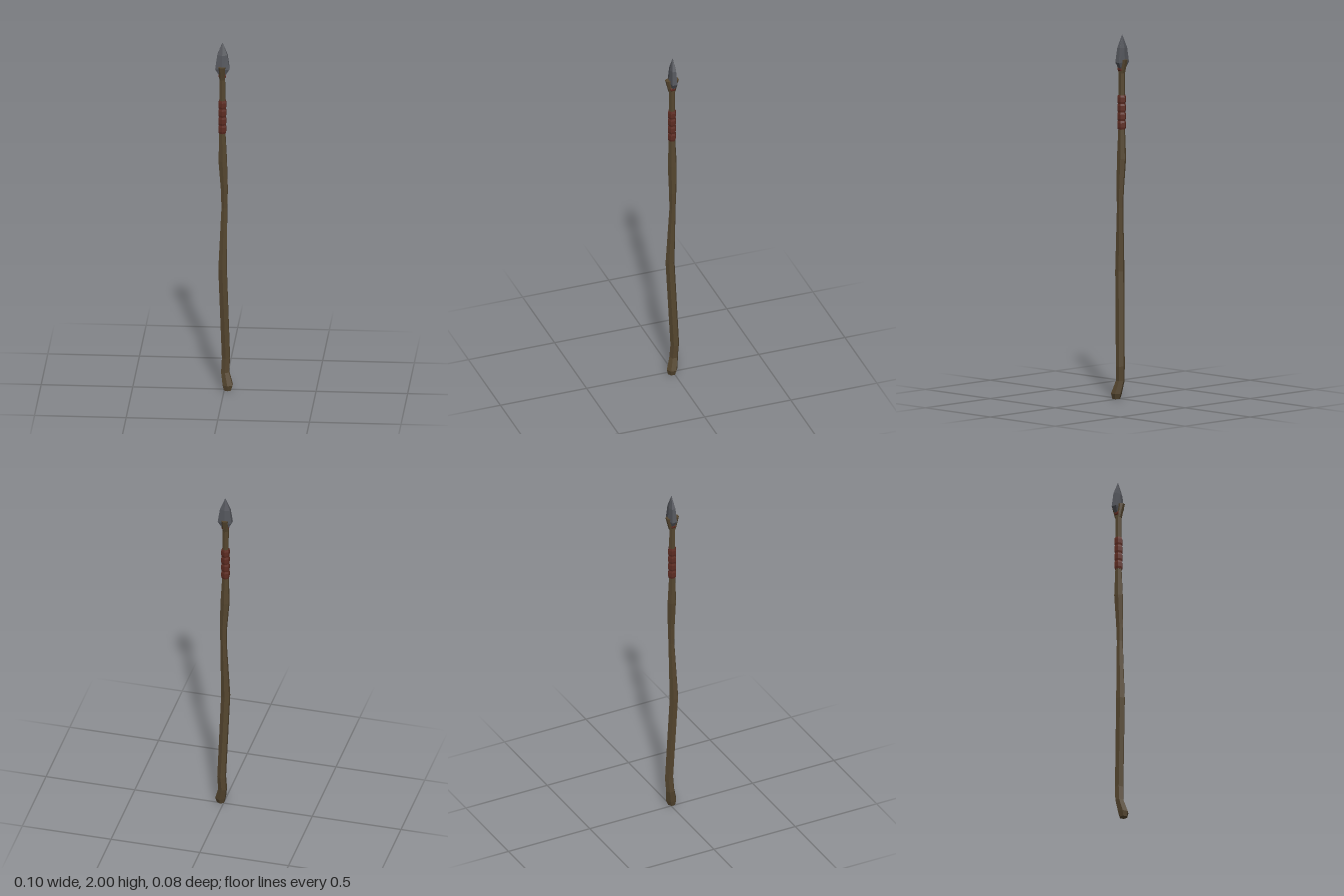
import * as THREE from 'three';

const mat = (name, color) => {
  const m = new THREE.MeshStandardMaterial({ color });
  m.name = name;
  return m;
};

// Capped loft through rings of [x, y, z] points listed bottom to top
function loft(rings) {
  const pos = [];
  const n = rings[0].length;
  const mean = (r) => [0, 1, 2].map((k) => r.reduce((s, p) => s + p[k], 0) / n);
  const first = rings[0], last = rings[rings.length - 1];
  const c0 = mean(first), c1 = mean(last);
  for (let j = 0; j < n; j++) {
    const k = (j + 1) % n;
    for (let i = 0; i < rings.length - 1; i++) {
      const a = rings[i][j], b = rings[i][k], c = rings[i + 1][k], d = rings[i + 1][j];
      pos.push(...a, ...b, ...c, ...a, ...c, ...d);
    }
    pos.push(...c0, ...first[k], ...first[j], ...c1, ...last[j], ...last[k]);
  }
  const g = new THREE.BufferGeometry();
  g.setAttribute('position', new THREE.Float32BufferAttribute(pos, 3));
  g.computeVertexNormals();
  return g;
}

// Six-sided ring, corners pointing along z
const hex = (x, y, z, r) => Array.from({ length: 6 }, (_, i) => {
  const a = (i / 6) * Math.PI * 2;
  return [x + Math.sin(a) * r, y, z + Math.cos(a) * r];
});

export function createModel() {
  const wood = mat('wood', 0x55462f);
  const stone = mat('stone', 0x54565c);
  const leather = mat('leather', 0x5e2c22);
  const group = new THREE.Group();
  group.name = 'spear';
  const add = (name, geometry, material) => {
    const m = new THREE.Mesh(geometry, material);
    m.name = name;
    group.add(m);
  };

  // Crooked shaft: x, y, z, radius
  add('shaft', loft([
    [0.018, 0, 0.012, 0.022], [0.019, 0.03, 0.01, 0.031], [0.004, 0.1, -0.004, 0.025],
    [0.008, 0.18, -0.009, 0.025], [-0.009, 0.7, 0.012, 0.026], [0, 1.05, 0.001, 0.018],
    [0, 1.15, 0, 0.021], [-0.009, 1.32, -0.001, 0.026], [-0.011, 1.48, 0, 0.019],
    [-0.011, 1.66, 0, 0.018], [-0.012, 1.83, 0, 0.018],
  ].map((s) => hex(...s))), wood);

  // Bulging grip wraps and the binding below the head
  const band = (name, y, h, r) => add(name, loft([
    hex(-0.011, y - h / 2, 0, r * 0.86), hex(-0.011, y - h / 4, 0, r),
    hex(-0.011, y + h / 4, 0, r), hex(-0.011, y + h / 2, 0, r * 0.86),
  ]), leather);
  for (let i = 0; i < 4; i++) band('gripWrap', 1.504 + i * 0.047, 0.048, 0.0245);
  band('headBinding', 1.812, 0.02, 0.023);

  // Split prongs that flare out in front of and behind the blade
  for (const s of [1, -1]) {
    const ring = (y, inner, outer, w) => {
      const p = [[-w, inner], [-w, (inner + outer) / 2], [-w / 2, outer],
        [w / 2, outer], [w, (inner + outer) / 2], [w, inner]];
      const r = p.map(([x, z]) => [-0.012 + x, y, s * z]);
      return s > 0 ? r : r.reverse();
    };
    add(s > 0 ? 'frontProng' : 'backProng',
      loft([ring(1.79, 0.002, 0.018, 0.015), ring(1.865, 0.013, 0.037, 0.018)]), wood);
  }

  // Blade: flat-edged six-sided sections with a central ridge
  const blade = (y, w, edge, ridge) => [[-w, edge], [0, ridge], [w, edge], [w, -edge], [0, -ridge], [-w, -edge]]
    .map(([x, z]) => [-0.011 + x, y, -0.004 + z]);
  add('blade', loft([
    blade(1.815, 0.018, 0.008, 0.012), blade(1.85, 0.039, 0.014, 0.022),
    blade(1.93, 0.028, 0.01, 0.017), blade(2, 0.001, 0.0005, 0.001),
  ]), stone);

  return group;
}
